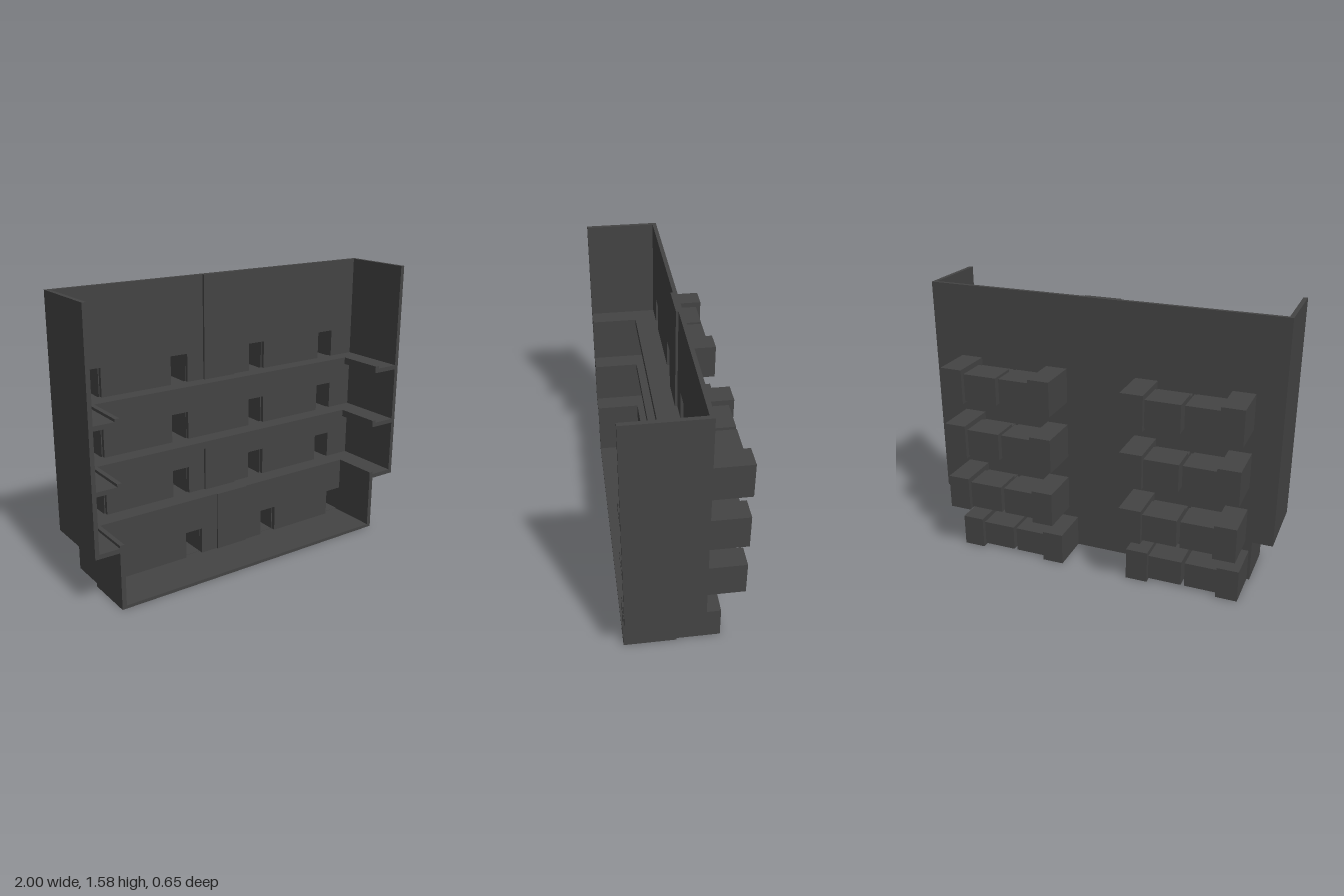
import * as THREE from 'three';

const darkGrey = new THREE.MeshStandardMaterial({ color: 0x444444 });
darkGrey.name = 'darkGrey';

// Box given by its minimum and maximum corners
function box(parent, name, x0, x1, y0, y1, z0, z1) {
  const mesh = new THREE.Mesh(new THREE.BoxGeometry(x1 - x0, y1 - y0, z1 - z0), darkGrey);
  mesh.position.set((x0 + x1) / 2, (y0 + y1) / 2, (z0 + z1) / 2);
  mesh.name = name;
  parent.add(mesh);
}

function rect(path, x0, x1, y0, y1) {
  path.moveTo(x0, y0);
  path.lineTo(x1, y0);
  path.lineTo(x1, y1);
  path.lineTo(x0, y1);
  path.closePath();
  return path;
}

const DOORS = [[-0.84, -0.735], [-0.32, -0.215], [0.2, 0.305], [0.715, 0.82]];

// Upright wall pierced by door openings, one row per [bottom, top] pair
function doorWall(parent, name, x0, x1, y0, y1, z0, z1, rows) {
  const shape = rect(new THREE.Shape(), x0, x1, y0, y1);
  for (const [b, t] of rows) {
    for (const [l, r] of DOORS) shape.holes.push(rect(new THREE.Path(), l, r, b, t));
  }
  const geo = new THREE.ExtrudeGeometry(shape, { depth: z1 - z0, bevelEnabled: false });
  const mesh = new THREE.Mesh(geo, darkGrey);
  mesh.position.z = z0;
  mesh.name = name;
  parent.add(mesh);
}

// Hollow entry room behind a door, open towards the front
function entryRoom(parent, x0, x1, y, z, h) {
  const g = new THREE.Group();
  g.name = 'entryRoom';
  const back = z - 0.237;
  box(g, 'roomFloor', x0, x1, y, y + 0.02, back, z);
  box(g, 'roomRoof', x0, x1, y + h - 0.015, y + h, back, z);
  box(g, 'roomBack', x0, x1, y + 0.02, y + h - 0.015, back, back + 0.012);
  box(g, 'roomSide', x0, x0 + 0.012, y + 0.02, y + h - 0.015, back + 0.012, z);
  box(g, 'roomSide', x1 - 0.012, x1, y + 0.02, y + h - 0.015, back + 0.012, z);
  parent.add(g);
}

// Lower inner room: main block plus a shallow neck joining the wall
function innerRoom(parent, x0, x1, y, z, h) {
  const g = new THREE.Group();
  g.name = 'innerRoom';
  box(g, 'roomBlock', x0, x1, y + 0.01, y + h - 0.03, z - 0.21, z - 0.045);
  box(g, 'roomNeck', x0, x1, y + 0.05, y + h - 0.045, z - 0.045, z);
  parent.add(g);
}

// Two rows of four rooms on one storey
function rooms(parent, y, z, h) {
  const g = new THREE.Group();
  g.name = 'rearRooms';
  for (const x of [-0.85, 0.19]) {
    entryRoom(g, x, x + 0.122, y, z, h);
    innerRoom(g, x + 0.122, x + 0.308, y, z, h);
    innerRoom(g, x + 0.328, x + 0.52, y, z, h);
    entryRoom(g, x + 0.52, x + 0.645, y, z, h);
  }
  parent.add(g);
}

export function createModel() {
  const model = new THREE.Group();
  model.name = 'cellBlock';
  const F = 0.322, B = -0.09, TOP = 1.578;
  const levels = [0.318, 0.645, 0.975];

  // Upper shell, open at the front and top
  doorWall(model, 'upperBackWall', -1, 1, levels[0], TOP, B, B + 0.022,
    levels.map((y) => [y + 0.025, y + 0.183]));
  box(model, 'rightWall', -1, -0.977, levels[0], TOP, B + 0.022, F);
  box(model, 'leftWall', 0.977, 1, levels[0], TOP, B + 0.022, F);

  // U-shaped galleries with a low kerb around the open well
  for (const y of levels) {
    const g = new THREE.Group();
    g.name = 'gallery';
    box(g, 'walkway', -0.977, 0.977, y, y + 0.025, B + 0.022, 0.035);
    box(g, 'sideWalkway', -0.977, -0.865, y, y + 0.025, 0.035, F);
    box(g, 'sideWalkway', 0.845, 0.977, y, y + 0.025, 0.035, F);
    box(g, 'kerb', -0.865, 0.845, y, y + 0.04, 0.035, 0.06);
    box(g, 'sideKerb', -0.865, -0.84, y, y + 0.04, 0.06, F);
    box(g, 'sideKerb', 0.82, 0.845, y, y + 0.04, 0.06, F);
    model.add(g);
    rooms(model, y, B, 0.196);
  }

  // Lower storey, set forward and narrower
  doorWall(model, 'lowerBackWall', -0.865, 0.845, 0, levels[0], 0.035, 0.06, [[0.018, 0.17]]);
  box(model, 'lowerFloor', -0.84, 0.82, 0, 0.018, 0.06, F);
  box(model, 'lowerRightWall', -0.865, -0.84, 0, levels[0], 0.06, F);
  box(model, 'lowerLeftWall', 0.82, 0.845, 0, levels[0], 0.06, F);
  rooms(model, 0, 0.035, 0.186);

  // Central pilasters
  box(model, 'lowerPilaster', -0.112, 0.09, 0.018, 0.358, 0.06, 0.068);
  box(model, 'middlePilaster', -0.112, 0.09, 0.343, 0.645, B + 0.022, -0.055);
  box(model, 'upperPilaster', -0.112, 0.09, 1.0, TOP, B + 0.022, -0.055);

  return model;
}
